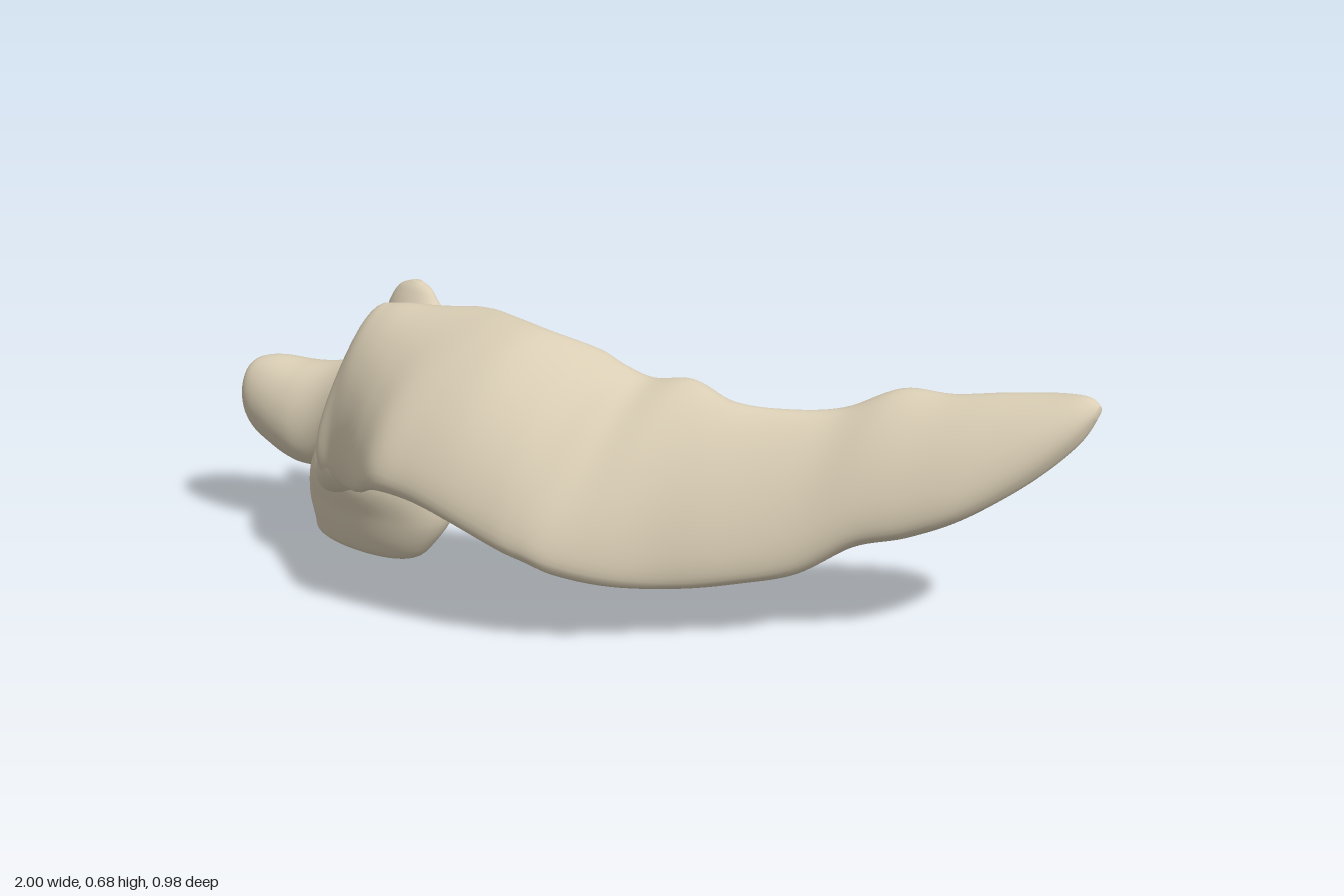
import * as THREE from 'three';

const material = new THREE.MeshStandardMaterial({ color: 0xd9cdb4 });

// Smooth interpolation between rows of section parameters
function sampleRows(rows, t) {
  const f = t * (rows.length - 1);
  const i = Math.min(Math.floor(f), rows.length - 2);
  const u = f - i;
  const at = k => rows[Math.max(0, Math.min(rows.length - 1, k))];
  return rows[i].map((b, k) => {
    const a = at(i - 1)[k], c = at(i + 1)[k], d = at(i + 2)[k];
    return b + 0.5 * u * (c - a + u * (2 * a - 5 * b + 4 * c - d + u * (3 * (b - c) + d - a)));
  });
}

// Skin closed rings made by ringPoint(row, angle), capped at both ends
function loft(name, rows, ringPoint, steps = 90, sides = 40) {
  const pos = [], idx = [];
  for (let i = 0; i <= steps; i++) {
    const row = sampleRows(rows, i / steps);
    for (let j = 0; j < sides; j++) pos.push(...ringPoint(row, (j / sides) * Math.PI * 2));
  }
  for (let i = 0; i < steps; i++) {
    for (let j = 0; j < sides; j++) {
      const a = i * sides + j, b = i * sides + (j + 1) % sides;
      idx.push(a, b, a + sides, b, b + sides, a + sides);
    }
  }
  for (const [start, flip] of [[0, true], [steps * sides, false]]) {
    const c = pos.length / 3;
    const sum = [0, 0, 0];
    for (let j = 0; j < sides; j++) for (let k = 0; k < 3; k++) sum[k] += pos[(start + j) * 3 + k] / sides;
    pos.push(...sum);
    for (let j = 0; j < sides; j++) {
      const a = start + j, b = start + (j + 1) % sides;
      idx.push(c, flip ? b : a, flip ? a : b);
    }
  }
  // Turn the faces outward if the enclosed volume is negative
  const p = k => new THREE.Vector3().fromArray(pos, k * 3);
  let volume = 0;
  for (let k = 0; k < idx.length; k += 3) volume += p(idx[k]).dot(p(idx[k + 1]).cross(p(idx[k + 2])));
  if (volume < 0) idx.reverse();
  const geo = new THREE.BufferGeometry();
  geo.setAttribute('position', new THREE.Float32BufferAttribute(pos, 3));
  geo.setIndex(idx);
  geo.computeVertexNormals();
  const mesh = new THREE.Mesh(geo, material);
  mesh.name = name;
  return mesh;
}

// Leaning, outward-bowed slab section: [x, topY, topZ, bottomY, bottomZ, halfThickness, bow]
function slabPoint([x, ty, tz, by, bz, half, bow], angle) {
  const s = Math.cos(angle);
  const len = Math.hypot(ty - by, tz - bz) || 1;
  const ny = (bz - tz) / len, nz = (ty - by) / len;
  const w = half * Math.sign(Math.sin(angle)) * Math.abs(Math.sin(angle)) ** 0.8 + bow * (1 - s * s);
  const m = (1 + s) / 2;
  return [x, by + (ty - by) * m + ny * w, bz + (tz - bz) * m + nz * w];
}

// Rounded sections lying flat or standing across the x axis
const flatPoint = ([y, cx, cz, rx, rz], a) => [cx + rx * Math.cos(a), y, cz + rz * Math.sin(a)];
const uprightPoint = ([x, cy, cz, ry, rz], a) => [x, cy + ry * Math.cos(a), cz + rz * Math.sin(a)];

export function createModel() {
  const group = new THREE.Group();
  group.name = 'bone';

  // Long curved blade, from the thick near end to the pointed tip
  group.add(loft('curvedBlade', [
    [-0.63, 0.33, 0.29, 0.28, 0.31, 0.01, 0],
    [-0.61, 0.45, 0.25, 0.25, 0.32, 0.05, 0.01],
    [-0.56, 0.63, 0.18, 0.24, 0.32, 0.065, 0.02],
    [-0.50, 0.66, 0.16, 0.24, 0.34, 0.07, 0.03],
    [-0.40, 0.66, 0.12, 0.29, 0.42, 0.065, 0.035],
    [-0.30, 0.66, 0.07, 0.34, 0.475, 0.065, 0.035],
    [-0.20, 0.66, 0.08, 0.335, 0.465, 0.065, 0.035],
    [-0.10, 0.65, 0.08, 0.30, 0.44, 0.065, 0.04],
    [0.00, 0.61, 0.02, 0.25, 0.40, 0.07, 0.05],
    [0.05, 0.575, -0.01, 0.225, 0.37, 0.07, 0.05],
    [0.11, 0.55, -0.04, 0.195, 0.33, 0.075, 0.02],
    [0.20, 0.56, -0.07, 0.165, 0.25, 0.075, 0.02],
    [0.30, 0.53, -0.08, 0.145, 0.13, 0.07, 0.02],
    [0.40, 0.515, -0.15, 0.155, 0.04, 0.065, 0.01],
    [0.50, 0.52, -0.23, 0.18, -0.04, 0.065, 0.01],
    [0.60, 0.565, -0.31, 0.25, -0.11, 0.065, 0.01],
    [0.70, 0.56, -0.36, 0.28, -0.17, 0.065, 0.01],
    [0.80, 0.57, -0.415, 0.33, -0.23, 0.06, 0.01],
    [0.90, 0.575, -0.47, 0.41, -0.32, 0.055, 0.01],
    [0.97, 0.58, -0.48, 0.49, -0.40, 0.04, 0],
    [1.00, 0.57, -0.47, 0.55, -0.45, 0.01, 0],
  ], slabPoint, 140, 48));

  // Rounded body thinning into a broad upright plate with a peak
  group.add(loft('body', [
    [0.00, -0.63, 0.165, 0.07, 0.02],
    [0.02, -0.635, 0.165, 0.16, 0.06],
    [0.06, -0.62, 0.16, 0.19, 0.085],
    [0.13, -0.61, 0.145, 0.22, 0.115],
    [0.22, -0.60, 0.135, 0.21, 0.14],
    [0.32, -0.58, 0.105, 0.19, 0.12],
    [0.42, -0.56, 0.065, 0.17, 0.08],
    [0.52, -0.54, 0.04, 0.15, 0.055],
    [0.57, -0.55, 0.03, 0.13, 0.045],
    [0.61, -0.59, 0.02, 0.08, 0.035],
    [0.645, -0.60, 0.01, 0.05, 0.022],
    [0.66, -0.60, 0.005, 0.015, 0.01],
  ], flatPoint));

  // Side wing with a blunt, rounded end
  group.add(loft('sideWing', [
    [-0.60, 0.36, 0.10, 0.14, 0.09],
    [-0.75, 0.32, 0.10, 0.13, 0.095],
    [-0.85, 0.30, 0.13, 0.135, 0.11],
    [-0.94, 0.325, 0.165, 0.115, 0.088],
    [-0.985, 0.34, 0.19, 0.085, 0.055],
    [-1.00, 0.345, 0.20, 0.03, 0.02],
  ], uprightPoint, 50));

  // Ridge running down from the peak to a rear spike
  group.add(loft('rearSpike', [
    [-0.50, 0.46, 0.03, 0.15, 0.03],
    [-0.65, 0.42, 0.01, 0.15, 0.045],
    [-0.74, 0.36, -0.03, 0.10, 0.045],
    [-0.79, 0.34, -0.075, 0.05, 0.035],
    [-0.815, 0.33, -0.10, 0.015, 0.01],
  ], uprightPoint, 40));

  // Bridge joining the body to the near end of the blade
  group.add(loft('bladeJoint', [
    [-0.72, 0.22, 0.20, 0.04, 0.04],
    [-0.66, 0.24, 0.23, 0.07, 0.08],
    [-0.58, 0.29, 0.25, 0.09, 0.10],
    [-0.50, 0.32, 0.23, 0.07, 0.08],
    [-0.45, 0.33, 0.22, 0.02, 0.03],
  ], uprightPoint, 40));

  return group;
}
